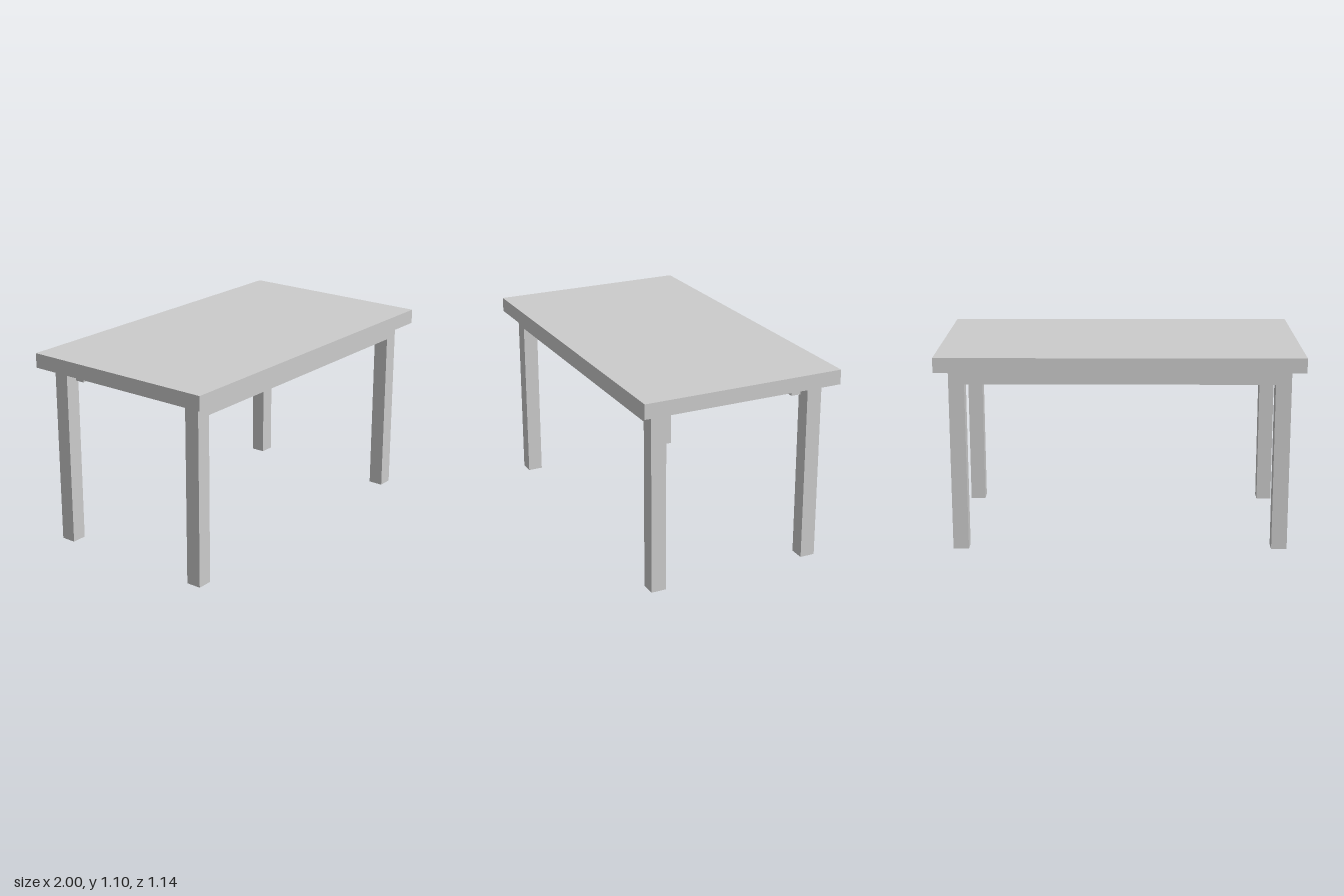
import * as THREE from 'three';

const material = new THREE.MeshStandardMaterial({ color: 0xcccccc, flatShading: true });

// Box given by its extents, so neighbouring parts line up
function box(name, [x0, x1], [y0, y1], [z0, z1]) {
  const mesh = new THREE.Mesh(new THREE.BoxGeometry(x1 - x0, y1 - y0, z1 - z0), material);
  mesh.position.set((x0 + x1) / 2, (y0 + y1) / 2, (z0 + z1) / 2);
  mesh.name = name;
  return mesh;
}

// Extents mirrored to the given side of the axis
const mirror = (side, inner, outer) => (side > 0 ? [inner, outer] : [-outer, -inner]);

export function createModel() {
  const table = new THREE.Group();
  table.name = 'table';

  table.add(box('tabletop', [-1, 1], [1.018, 1.1], [-0.571, 0.571]));

  for (const sz of [1, -1]) {
    const end = sz > 0 ? 'front' : 'back';

    // Long rail, flush with the outer leg faces and slightly below the top
    table.add(box(`${end}Rail`, [-0.86, 0.86], [0.94, 1.01], mirror(sz, 0.36, 0.501)));

    // Square legs
    for (const sx of [1, -1]) {
      const name = `${end}${sx > 0 ? 'Left' : 'Right'}Leg`;
      table.add(box(name, mirror(sx, 0.842, 0.928), [0, 1.018], mirror(sz, 0.416, 0.501)));
    }
  }
  return table;
}
